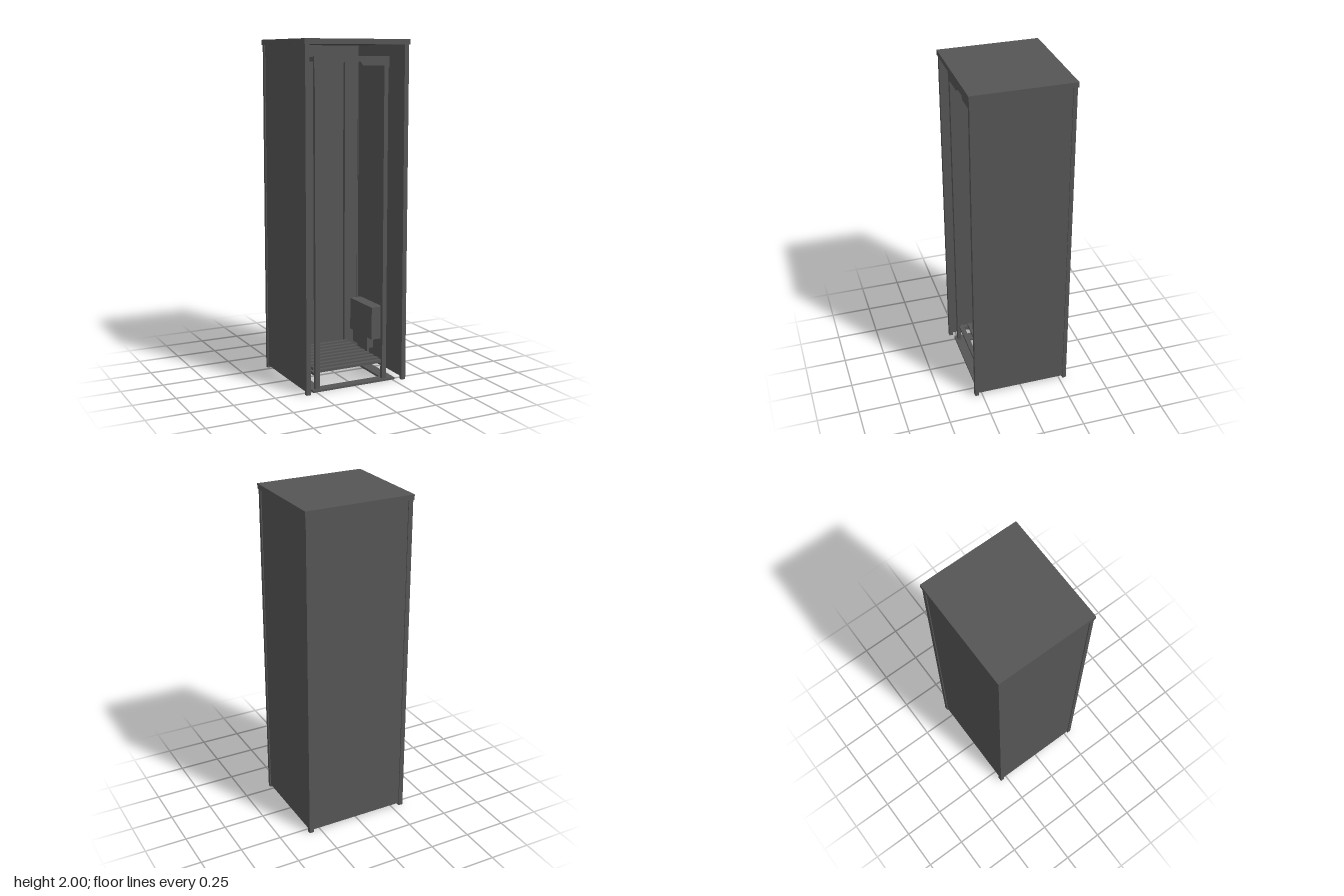
import * as THREE from 'three';

const darkMetal = new THREE.MeshStandardMaterial({ color: 0x555555 });
darkMetal.name = 'dark grey metal';

// Box given by its extents on each axis
function box(parent, name, [x0, x1], [y0, y1], [z0, z1]) {
  const mesh = new THREE.Mesh(new THREE.BoxGeometry(x1 - x0, y1 - y0, z1 - z0), darkMetal);
  mesh.position.set((x0 + x1) / 2, (y0 + y1) / 2, (z0 + z1) / 2);
  mesh.name = name;
  parent.add(mesh);
  return mesh;
}

function group(parent, name) {
  const g = new THREE.Group();
  g.name = name;
  parent.add(g);
  return g;
}

// Outer cabinet: lid, corner posts, side and back panels, open front
function buildCabinet(parent) {
  const cabinet = group(parent, 'cabinet');
  box(cabinet, 'lid', [-0.33, 0.33], [1.97, 2], [-0.3, 0.3]);
  for (const sx of [-1, 1]) {
    const side = (a, b) => (sx > 0 ? [a, b] : [-b, -a]);
    box(cabinet, 'frontPost', side(0.298, 0.325), [0, 1.97], [0.272, 0.295]);
    box(cabinet, 'backPost', side(0.298, 0.325), [0, 1.97], [-0.295, -0.272]);
    box(cabinet, 'sidePanel', side(0.305, 0.319), [0.015, 1.97], [-0.272, 0.272]);
  }
  box(cabinet, 'backPanel', [-0.298, 0.298], [0.015, 1.97], [-0.289, -0.275]);
}

// Flat top plate of the rack with a raised hand notch in its lower edge
function notchedPlate(parent, z) {
  const s = new THREE.Shape();
  [[-0.255, 1.905], [-0.255, 1.84], [-0.22, 1.84], [-0.22, 1.852], [-0.085, 1.852], [-0.068, 1.874],
    [0.032, 1.874], [0.05, 1.852], [0.185, 1.852], [0.185, 1.84], [0.22, 1.84], [0.22, 1.905]]
    .forEach(([x, y], i) => (i ? s.lineTo(x, y) : s.moveTo(x, y)));
  const mesh = new THREE.Mesh(new THREE.ExtrudeGeometry(s, { depth: 0.01, bevelEnabled: false }), darkMetal);
  mesh.position.z = z;
  mesh.name = 'notchedTopPlate';
  parent.add(mesh);
}

// Inner rack: legs, top frame, slatted shelf
function buildRack(parent) {
  const rack = group(parent, 'rack');
  const legs = [[-0.25, -0.222], [0.187, 0.213]];
  for (const x of legs) {
    box(rack, 'frontLeg', x, [0.01, 1.85], [0.235, 0.257]);
    box(rack, 'backLeg', x, [0.01, 1.9], [-0.25, -0.228]);
    box(rack, 'topRail', x, [1.875, 1.9], [-0.228, 0.247]);
    box(rack, 'shelfRail', x, [0.09, 0.106], [-0.228, 0.235]);
  }
  notchedPlate(rack, 0.248);
  box(rack, 'rearTopRail', [-0.222, 0.187], [1.875, 1.9], [-0.25, -0.228]);

  const slats = 9;
  for (let i = 0; i < slats; i++) {
    const z = -0.22 + (i * 0.45) / (slats - 1);
    box(rack, 'shelfSlat', [-0.235, 0.2], [0.106, 0.122], [z - 0.014, z + 0.014]);
  }
}

// Flat rectangular ring on the floor
function buildBase(parent) {
  const s = new THREE.Shape();
  s.moveTo(-0.27, -0.27).lineTo(0.265, -0.27).lineTo(0.265, 0.27).lineTo(-0.27, 0.27);
  const hole = new THREE.Path();
  hole.moveTo(-0.205, -0.21).lineTo(-0.205, 0.21).lineTo(0.195, 0.21).lineTo(0.195, -0.21);
  s.holes.push(hole);
  const ring = new THREE.Mesh(new THREE.ExtrudeGeometry(s, { depth: 0.012, bevelEnabled: false }), darkMetal);
  ring.rotation.x = -Math.PI / 2;
  ring.name = 'baseRing';
  parent.add(ring);
}

// Service box on the inside of the left wall
function buildServiceBox(parent) {
  const unit = group(parent, 'serviceBox');
  box(unit, 'housing', [0.213, 0.265], [0.2, 0.4], [-0.2, 0.08]);
  box(unit, 'wallBracket', [0.265, 0.288], [0.2, 0.4], [-0.2, 0.08]);
  box(unit, 'lowerBlock', [0.213, 0.258], [0.13, 0.2], [-0.16, 0.02]);
  box(unit, 'supportPost', [0.258, 0.272], [0.07, 0.2], [-0.08, -0.06]);
}

export function createModel() {
  const model = new THREE.Group();
  model.name = 'openCabinetWithRack';
  buildCabinet(model);
  buildRack(model);
  buildBase(model);
  buildServiceBox(model);
  return model;
}
